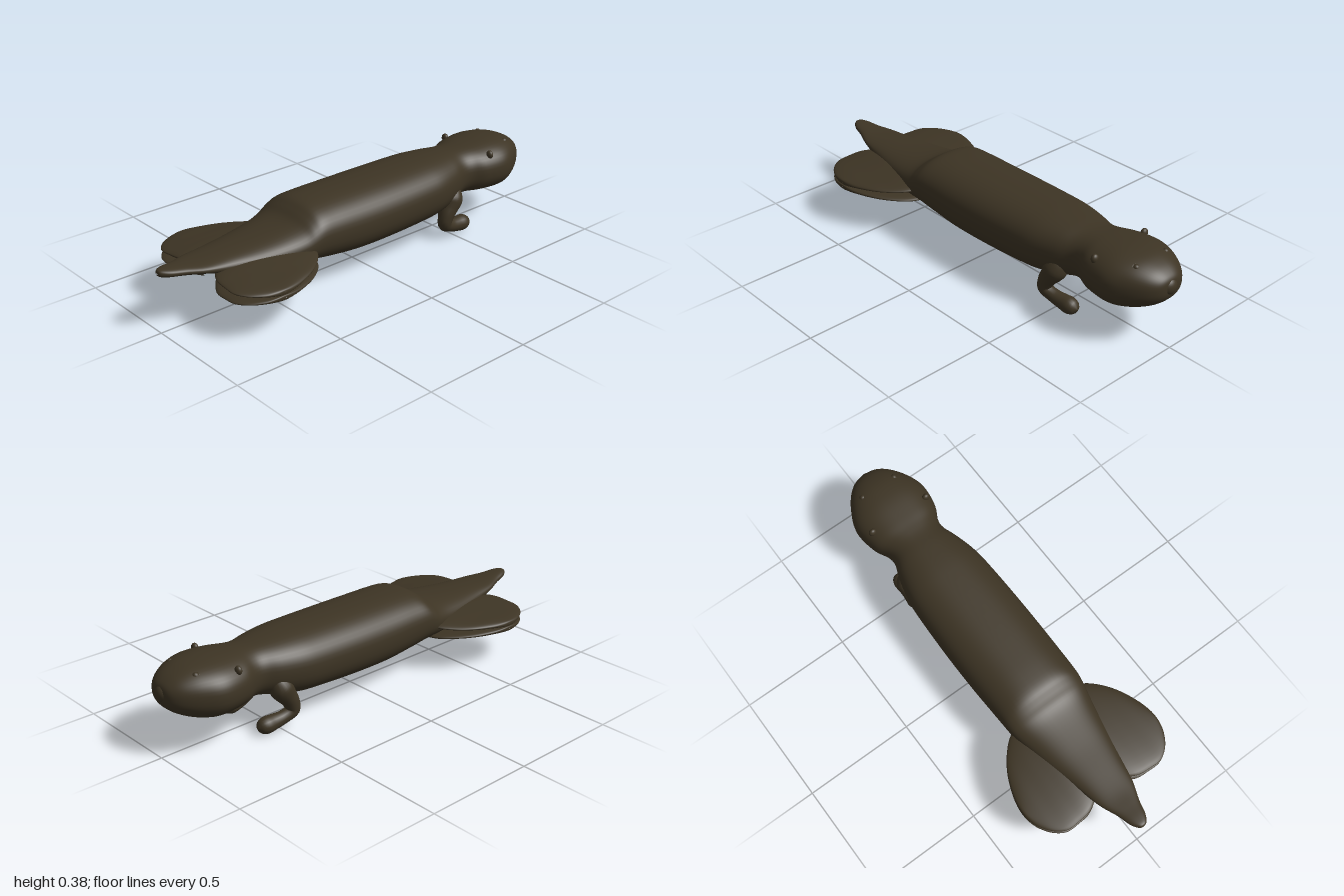
import * as THREE from 'three';
import { mergeVertices } from 'three/addons/utils/BufferGeometryUtils.js';

const V = (x, y, z) => new THREE.Vector3(x, y, z);
const fur = new THREE.MeshStandardMaterial({ color: 0x3d3424 });
fur.name = 'dark brown fur';

function add(parent, name, geometry) {
  const mesh = new THREE.Mesh(geometry, fur);
  mesh.name = name;
  parent.add(mesh);
  return mesh;
}

// Smooth skin through rows of [station, top, bottom, sideMin, sideMax].
// place(station, across, height) puts each point; flip reverses the ring.
function loft(rows, place, { exponent = 2, flip = 1, rings = 60, sides = 40 } = {}) {
  const spline = (f) => new THREE.CatmullRomCurve3(rows.map(f), false, 'catmullrom', 0.5);
  const heights = spline((r) => V(r[0], r[1], r[2]));
  const widths = spline((r) => V(r[0], r[3], r[4]));
  const pos = [], index = [];
  const bend = (c) => Math.sign(c) * Math.abs(c) ** (2 / exponent);
  for (let i = 0; i <= rings; i++) {
    const h = heights.getPoint(i / rings), w = widths.getPoint(i / rings);
    for (let j = 0; j < sides; j++) {
      const a = (j / sides) * Math.PI * 2;
      const across = (w.y + w.z) / 2 + ((w.z - w.y) / 2) * bend(Math.cos(a));
      const height = (h.y + h.z) / 2 + ((h.y - h.z) / 2) * bend(Math.sin(a)) * flip;
      pos.push(...place(h.x, across, height));
      if (i < rings) {
        const k = i * sides + j, n = i * sides + ((j + 1) % sides);
        index.push(k, k + sides, n + sides, k, n + sides, n);
      }
    }
  }
  const g = new THREE.BufferGeometry();
  g.setAttribute('position', new THREE.Float32BufferAttribute(pos, 3));
  g.setIndex(index);
  g.computeVertexNormals();
  return g;
}

// Tube whose radius follows a list of values along the path
function taperedTube(points, radii) {
  const curve = new THREE.CatmullRomCurve3(points), n = 40, sides = 20;
  const profile = new THREE.SplineCurve(radii.map(([t, r]) => new THREE.Vector2(t, r)));
  const samples = profile.getPoints(200);
  const radiusAt = (t) => Math.max(0.0005, (samples.find((p) => p.x >= t - 1e-6) || samples[200]).y);
  let g = new THREE.TubeGeometry(curve, n, 1, sides);
  const p = g.attributes.position, v = V(0, 0, 0);
  for (let i = 0; i <= n; i++) {
    const c = curve.getPointAt(i / n), r = radiusAt(i / n);
    for (let j = 0; j <= sides; j++) {
      const k = i * (sides + 1) + j;
      v.fromBufferAttribute(p, k).sub(c).multiplyScalar(r).add(c);
      p.setXYZ(k, v.x, v.y, v.z);
    }
  }
  g.deleteAttribute('uv');
  g.deleteAttribute('normal');
  g = mergeVertices(g, 1e-5);
  g.computeVertexNormals();
  return g;
}

export function createModel() {
  const model = new THREE.Group();
  model.name = 'swimmingAnimal';

  // Tail, trunk, neck and head: [x, top, bottom, half width]
  const bodyRows = [
    [-1, 0.268, 0.262, 0.004], [-0.992, 0.28, 0.252, 0.02], [-0.96, 0.281, 0.245, 0.04],
    [-0.9, 0.276, 0.237, 0.057], [-0.82, 0.272, 0.225, 0.088], [-0.7, 0.277, 0.19, 0.115],
    [-0.58, 0.285, 0.158, 0.145], [-0.46, 0.3, 0.138, 0.17], [-0.39, 0.318, 0.138, 0.185],
    [-0.345, 0.348, 0.134, 0.192], [-0.3, 0.372, 0.126, 0.195], [-0.22, 0.379, 0.113, 0.197],
    [-0.08, 0.38, 0.099, 0.2], [0.1, 0.38, 0.098, 0.2], [0.3, 0.38, 0.105, 0.194],
    [0.4, 0.379, 0.113, 0.185], [0.5, 0.374, 0.132, 0.16], [0.57, 0.369, 0.15, 0.135],
    [0.62, 0.37, 0.153, 0.139], [0.68, 0.375, 0.149, 0.168], [0.76, 0.38, 0.145, 0.183],
    [0.82, 0.379, 0.147, 0.178], [0.88, 0.372, 0.162, 0.152], [0.93, 0.356, 0.185, 0.12],
    [0.965, 0.336, 0.21, 0.087], [0.985, 0.314, 0.238, 0.052], [0.992, 0.28, 0.274, 0.004],
  ];
  add(model, 'bodyAndHead', loft(
    bodyRows.map(([x, t, b, w]) => [x, t, b, -w, w]),
    (x, z, y) => [x, y, z], { exponent: 2.35, rings: 130, sides: 48 }));

  // Nose
  const nose = add(model, 'nose', new THREE.SphereGeometry(0.038, 24, 16));
  nose.scale.x = 0.8;
  nose.position.set(0.97, 0.279, 0);

  // Hind flipper outline: [z, rear x, front x, half thickness]
  const flipper = [
    [0.04, -0.76, -0.34, 0.046], [0.12, -0.81, -0.34, 0.044], [0.19, -0.82, -0.355, 0.036],
    [0.25, -0.818, -0.405, 0.028], [0.3, -0.785, -0.475, 0.022], [0.335, -0.735, -0.555, 0.016],
    [0.35, -0.69, -0.61, 0.011], [0.354, -0.652, -0.648, 0.002],
  ];

  for (const side of [1, -1]) {
    const label = side > 0 ? 'left' : 'right';

    // Each hind flipper is an upper and a lower leaf
    for (const [layer, y0, dir] of [['Upper', 0.204, 1], ['Lower', 0.181, -1]]) {
      const rows = flipper.map(([z, xa, xb, h]) => {
        const main = y0 + dir * h, back = y0 - dir * Math.min(h, 0.01);
        return [z, Math.max(main, back), Math.min(main, back), xa, xb];
      });
      add(model, `${label}${layer}Flipper`, loft(rows,
        (z, x, y) => [x, y, z * side], { flip: -side, rings: 40 }));
    }

    // Foreleg, bending forward into a rounded paw
    add(model, `${label}Foreleg`, taperedTube(
      [V(0.51, 0.235, 0.115 * side), V(0.485, 0.175, 0.127 * side), V(0.45, 0.115, 0.135 * side),
        V(0.443, 0.075, 0.136 * side), V(0.485, 0.052, 0.128 * side),
        V(0.54, 0.042, 0.121 * side), V(0.612, 0.038, 0.118 * side)],
      [[0, 0.03], [0.15, 0.052], [0.3, 0.042], [0.44, 0.034], [0.6, 0.029],
        [0.76, 0.033], [0.88, 0.037], [0.95, 0.029], [0.985, 0.016], [1, 0]]));

    // Ear
    const ear = add(model, `${label}Ear`, new THREE.SphereGeometry(0.02, 16, 12));
    ear.scale.set(0.7, 1, 0.9);
    ear.position.set(0.715, 0.343, 0.143 * side);

    // Eye with a raised lid
    const eye = new THREE.Group();
    eye.name = `${label}Eye`;
    add(eye, 'eyeball', new THREE.SphereGeometry(0.014, 16, 12));
    add(eye, 'eyelid', new THREE.TorusGeometry(0.016, 0.004, 8, 24)).scale.y = 0.8;
    eye.position.set(0.875, 0.352, 0.084 * side);
    eye.lookAt(1.0, 0.5, 0.15 * side);
    model.add(eye);
  }
  return model;
}
